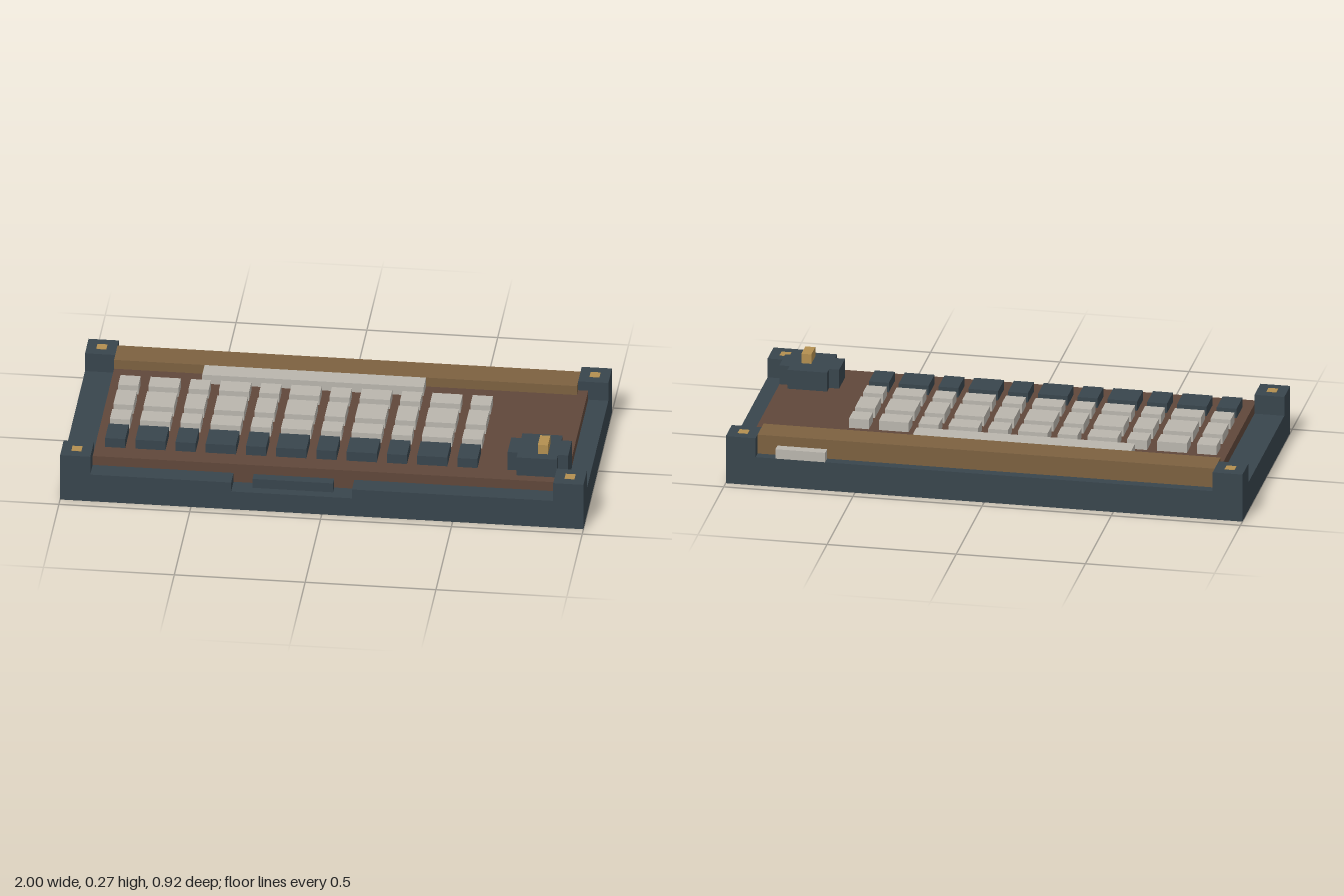
import * as THREE from 'three';

const U = 1 / 26; // one block of the modelling grid

const mat = (name, color) => {
  const m = new THREE.MeshStandardMaterial({ color });
  m.name = name;
  return m;
};

export function createModel() {
  const slate = mat('slate', 0x38454d);
  const brown = mat('brown', 0x60473a);
  const bronze = mat('bronze', 0x7c6140);
  const gold = mat('gold', 0xb38f50);
  const ivory = mat('ivory', 0xb9b5ad);

  const model = new THREE.Group();
  model.name = 'keyboard';

  // Box given by its two ends on each axis, in grid units
  const box = (name, m, [x0, x1], [y0, y1], [z0, z1], parent = model) => {
    const mesh = new THREE.Mesh(new THREE.BoxGeometry((x1 - x0) * U, (y1 - y0) * U, (z1 - z0) * U), m);
    mesh.position.set((x0 + x1) / 2 * U, (y0 + y1) / 2 * U, (z0 + z1) / 2 * U);
    mesh.name = name;
    parent.add(mesh);
    return mesh;
  };

  // Case: main slab, and a front edge with a notch in its top
  box('caseBase', slate, [-26, 26], [0, 3], [-12, 9]);
  const profile = new THREE.Shape(
    [[-26, 0], [26, 0], [26, 3], [3, 3], [3, 2], [-9, 2], [-9, 3], [-26, 3]]
      .map(([x, y]) => new THREE.Vector2(x * U, y * U)));
  const front = new THREE.Mesh(
    new THREE.ExtrudeGeometry(profile, { depth: 3 * U, bevelEnabled: false }), slate);
  front.position.z = 9 * U;
  front.name = 'caseFront';
  model.add(front);

  // Latch sitting in the notch
  box('notchBack', brown, [-9, 3], [2, 3], [9, 10]);
  box('latch', slate, [-7, 1], [2, 3], [10, 11]);

  // Corner posts with inlaid studs
  for (const sx of [-1, 1]) for (const sz of [-1, 1]) {
    const span = (s, a, b) => (s > 0 ? [a, b] : [-b, -a]);
    box('cornerPost', slate, span(sx, 23, 26), [3, 5], span(sz, 9, 12));
    box('cornerStud', gold, span(sx, 24, 25), [4.9, 5.04], span(sz, 10, 11));
  }

  // Key plate and rear strip
  box('keyPlate', brown, [-23, 24], [3, 4], [-8, 10]);
  box('keyPlateCorner', brown, [23, 24], [3, 4], [-9, -8]);
  box('rearStrip', bronze, [-23, 23], [3, 5], [-11, -8]);
  box('rearPort', ivory, [16, 21], [3, 4], [-12, -11]);

  // Keys: columns alternate two and three units wide
  const keys = new THREE.Group();
  keys.name = 'keys';
  model.add(keys);
  const rows = [[-5, -3, ivory], [-2, 1, ivory], [2, 4, ivory], [5, 8, slate]];
  for (const [z0, z1, m] of rows) {
    let x = -22;
    for (let i = 0; i < 11; i++) {
      const w = i % 2 ? 3 : 2;
      box('key', m, [x, x + w], [4, 5], [z0, z1], keys);
      x += w + 1;
    }
  }
  box('longBar', ivory, [-14, 8], [4, 5], [-8, -6], keys);

  // Stepped dial with a pointer
  const dial = new THREE.Group();
  dial.name = 'dial';
  model.add(dial);
  box('dialCore', slate, [19, 23], [4, 6], [4, 9], dial);
  box('dialSideLeft', slate, [23, 24.02], [3, 6], [5, 8], dial);
  box('dialSideRight', slate, [18, 19], [4, 6], [5, 8], dial);
  box('dialPointer', gold, [21, 22], [6, 7], [6, 8], dial);

  return model;
}
